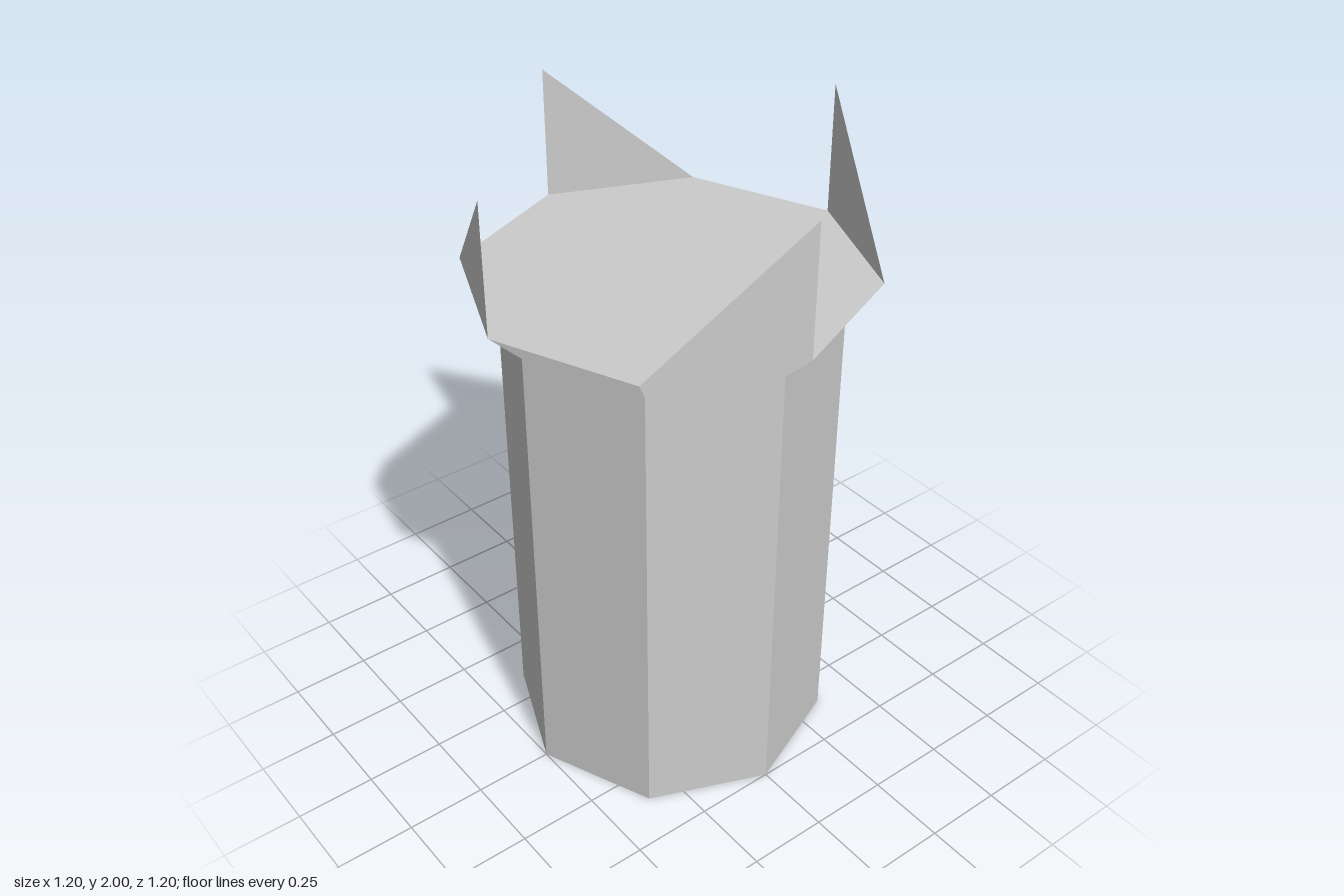
import * as THREE from 'three';

const SIDES = 8, RIM = 0.6, BASE = 0.5, RIM_Y = 1.6, TIP_Y = 2;
const grey = new THREE.MeshStandardMaterial({ color: 0xcccccc });
const greyThin = new THREE.MeshStandardMaterial({ color: 0xcccccc, side: THREE.DoubleSide });

// Point on the rim octagon at a given angle (0 = front) and height
const rimPoint = (angle, y) =>
  new THREE.Vector3(RIM * Math.sin(angle), y, RIM * Math.cos(angle));

// Octagonal wall flaring out to the rim; each side is shaded as one flat panel
function wallGeometry() {
  const profile = [[BASE, 0], [BASE, 1.5], [RIM, RIM_Y]].map(p => new THREE.Vector2(...p));
  const geometry = new THREE.LatheGeometry(profile, SIDES).toNonIndexed();
  geometry.computeVertexNormals();
  const normal = geometry.attributes.normal;
  const n = new THREE.Vector3();
  for (let i = 0; i < normal.count; i++) {
    n.fromBufferAttribute(normal, i).setY(0).normalize();
    normal.setXYZ(i, n.x, n.y, n.z);
  }
  return geometry;
}

// Upright triangle on one rim edge, its tip above the edge's right-hand corner
function finGeometry() {
  const geometry = new THREE.BufferGeometry().setFromPoints([
    rimPoint(-Math.PI / 4, RIM_Y), rimPoint(0, RIM_Y), rimPoint(0, TIP_Y),
  ]);
  geometry.computeVertexNormals();
  return geometry;
}

export function createModel() {
  const model = new THREE.Group();
  const add = (name, geometry, material = grey) => {
    const mesh = new THREE.Mesh(geometry, material);
    mesh.name = name;
    model.add(mesh);
    return mesh;
  };

  add('towerWall', wallGeometry());

  // Flat top and underside
  add('topPlatform', new THREE.CircleGeometry(RIM, SIDES).rotateX(-Math.PI / 2)).position.y = RIM_Y;
  add('underside', new THREE.CircleGeometry(BASE, SIDES).rotateX(Math.PI / 2));

  // Four pointed fins on every other rim edge
  const fin = finGeometry();
  for (let i = 0; i < 4; i++) add('rimFin' + (i + 1), fin, greyThin).rotation.y = i * Math.PI / 2;

  return model;
}
